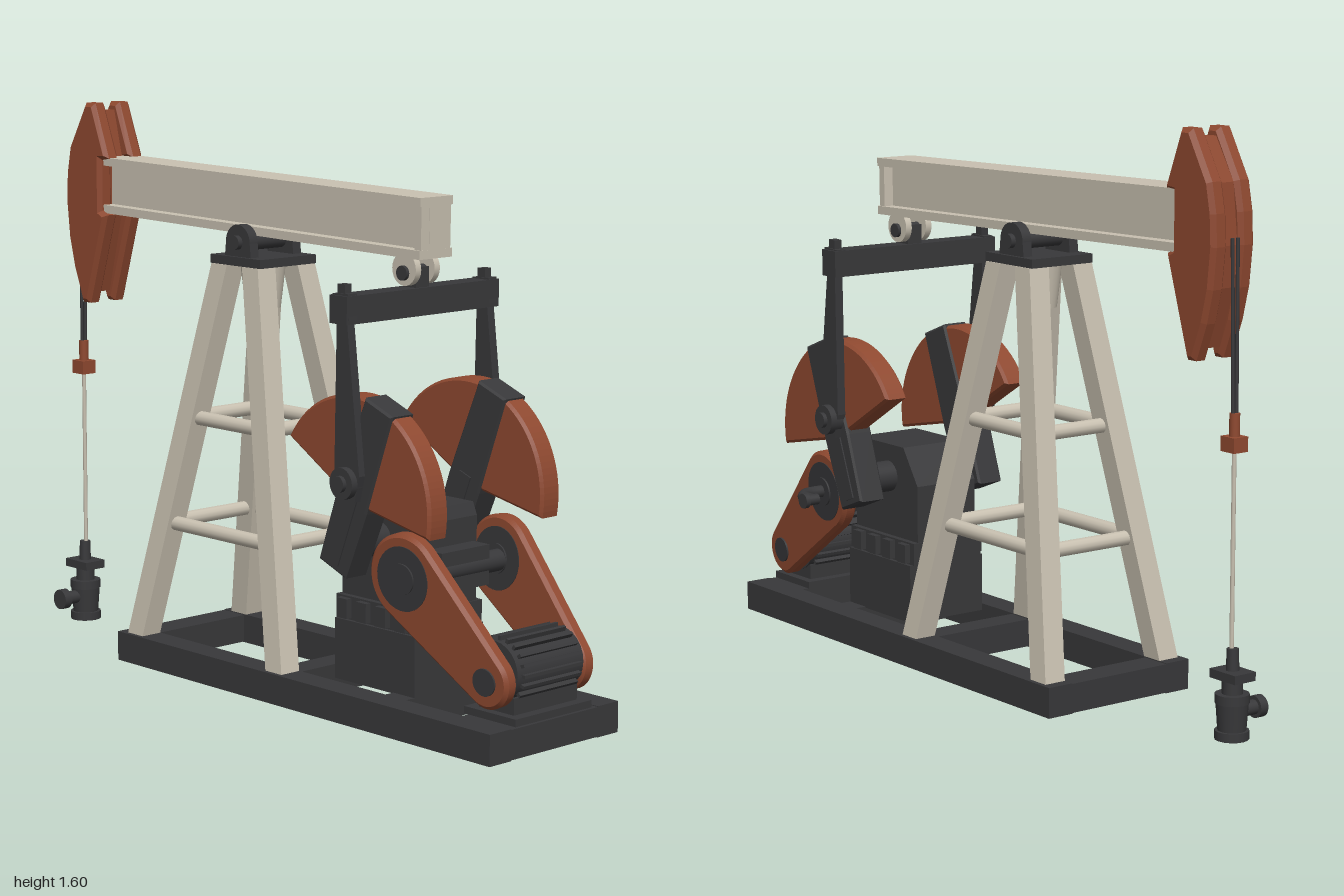
import * as THREE from 'three';

const mat = (name, color) => Object.assign(new THREE.MeshStandardMaterial({ color }), { name });

export function createModel() {
  const dark = mat('charcoal steel', 0x38383a);
  const red = mat('rust red paint', 0x8f4930);
  const cream = mat('cream paint', 0xc9c1b1);

  const root = new THREE.Group();
  root.name = 'oilPump';
  const machine = new THREE.Group();
  machine.name = 'machine';
  machine.position.z = 0.02; // everything is symmetric about this plane
  root.add(machine);

  const add = (name, geo, material, x = 0, y = 0, z = 0, parent = machine) => {
    const m = new THREE.Mesh(geo, material);
    m.name = name;
    m.position.set(x, y, z);
    parent.add(m);
    return m;
  };
  const box = (name, material, x0, x1, y0, y1, z0, z1, parent) =>
    add(name, new THREE.BoxGeometry(x1 - x0, y1 - y0, z1 - z0), material,
      (x0 + x1) / 2, (y0 + y1) / 2, (z0 + z1) / 2, parent);
  // cylinder lying along z
  const disc = (name, material, r, len, x, y, z, parent, sides = 24) =>
    add(name, new THREE.CylinderGeometry(r, r, len, sides).rotateX(Math.PI / 2), material, x, y, z, parent);
  const post = (name, material, r0, r1, y0, y1, x, z, sides = 16) =>
    add(name, new THREE.CylinderGeometry(r1, r0, y1 - y0, sides), material, x, (y0 + y1) / 2, z);
  // round bar between two points
  const rod = (name, material, r, a, b) => {
    const d = b.clone().sub(a);
    const m = add(name, new THREE.CylinderGeometry(r, r, d.length(), 12), material);
    m.position.copy(a).add(b).multiplyScalar(0.5);
    m.quaternion.setFromUnitVectors(new THREE.Vector3(0, 1, 0), d.normalize());
    return m;
  };
  // extruded outline centred on its own z, keeping its size when bevelled
  const slab = (shape, depth, bevel = 0) => {
    const g = new THREE.ExtrudeGeometry(shape, {
      depth: depth - 2 * bevel, bevelEnabled: bevel > 0, bevelThickness: bevel,
      bevelSize: bevel, bevelOffset: -bevel, bevelSegments: 1, curveSegments: 24,
    });
    return g.translate(0, 0, -depth / 2 + bevel);
  };
  const outline = (pts) => new THREE.Shape(pts.map(([x, y]) => new THREE.Vector2(x, y)));

  // Skid frame
  for (const s of [-1, 1]) box('skidRail', dark, -0.5, 1, 0, 0.085, s * 0.205 - 0.04, s * 0.205 + 0.04);
  for (const [a, b] of [[-0.5, -0.41], [0.12, 0.2], [0.53, 0.61], [0.82, 1]])
    box('skidCrossBeam', dark, a, b, 0.002, 0.083, -0.17, 0.17);

  // Tower legs: boxes sheared from foot to top
  const cx = -0.137, y0 = 0.08, y1 = 1.175;
  const legAt = (sx, sz, y) => {
    const t = (y - y0) / (y1 - y0);
    return new THREE.Vector3(cx + sx * (0.3 - 0.235 * t), y, sz * (0.2 - 0.125 * t));
  };
  for (const sx of [-1, 1]) for (const sz of [-1, 1]) {
    const g = new THREE.BoxGeometry(0.066, 1, 0.066);
    const p = g.attributes.position;
    for (let i = 0; i < p.count; i++) {
      const c = legAt(sx, sz, p.getY(i) < 0 ? y0 : y1);
      p.setXYZ(i, c.x + p.getX(i), c.y, c.z + p.getZ(i));
    }
    g.computeVertexNormals();
    add('towerLeg', g, cream);
  }
  // Tower rungs on all four faces
  for (const y of [0.42, 0.73]) for (const s of [-1, 1]) {
    rod('towerRung', cream, 0.021, legAt(-1, s, y), legAt(1, s, y));
    rod('towerRung', cream, 0.021, legAt(s, -1, y), legAt(s, 1, y));
  }
  post('towerCap', cream, 0.05, 0.065, 1.05, 1.175, cx, 0, 20);
  box('saddlePlate', dark, cx - 0.105, cx + 0.105, 1.175, 1.2, -0.105, 0.105);

  // Saddle bearings
  const arch = new THREE.Shape();
  arch.moveTo(-0.055, 1.195);
  arch.lineTo(0.055, 1.195);
  arch.lineTo(0.05, 1.24);
  arch.absarc(0, 1.24, 0.05, 0, Math.PI, false);
  for (const s of [-1, 1]) {
    add('saddleBearing', slab(arch, 0.03), dark, cx, 0, s * 0.08);
    disc('saddleBolt', dark, 0.02, 0.02, cx, 1.24, s * 0.1);
  }
  disc('saddlePin', dark, 0.025, 0.16, cx, 1.24, 0);

  // Walking beam
  const beam = new THREE.Group();
  beam.name = 'walkingBeam';
  beam.position.set(-0.12, 1.342, 0);
  beam.rotation.z = -0.02;
  machine.add(beam);
  box('topFlange', cream, -0.665, 0.67, 0.058, 0.082, -0.061, 0.061, beam);
  box('bottomFlange', cream, -0.665, 0.67, -0.082, -0.058, -0.061, 0.061, beam);
  box('beamWeb', cream, -0.665, 0.67, -0.06, 0.06, -0.025, 0.025, beam);
  box('beamEnd', cream, 0.645, 0.669, -0.06, 0.06, -0.055, 0.055, beam);

  // Curved head: two cheeks with a recessed core
  const head = outline([[-0.845, 1.595], [-0.803, 1.595], [-0.742, 1.435], [-0.775, 1.43], [-0.775, 1.28],
    [-0.75, 1.268], [-0.834, 1], [-0.866, 1], [-0.905, 1.1], [-0.928, 1.19], [-0.94, 1.3], [-0.936, 1.385], [-0.92, 1.465]]);
  for (const s of [-1, 1]) add('headCheek', slab(head, 0.052, 0.012), red, 0, 0, 0.005 + s * 0.046);
  const core = outline([[-0.84, 1.572], [-0.815, 1.572], [-0.78, 1.43], [-0.78, 1.28],
    [-0.845, 1.03], [-0.865, 1.03], [-0.915, 1.19], [-0.927, 1.3], [-0.909, 1.46]]);
  add('headCore', slab(core, 0.05), red, 0, 0, 0.005);

  // Hanging cable, coupling and polished rod
  const wx = -0.945, wz = 0.008;
  for (const s of [-1, 1]) rod('cable', dark, 0.005,
    new THREE.Vector3(-0.938, 1.32, wz + s * 0.009), new THREE.Vector3(wx, 0.86, wz + s * 0.006));
  post('couplingNeck', red, 0.014, 0.014, 0.8, 0.87, wx, wz);
  box('couplingBlock', red, wx - 0.026, wx + 0.026, 0.77, 0.81, wz - 0.024, wz + 0.024);
  post('polishedRod', cream, 0.006, 0.006, 0.24, 0.78, wx, wz, 10);

  // Wellhead
  const hx = -0.95;
  post('wellGland', dark, 0.018, 0.016, 0.18, 0.25, hx, wz);
  box('wellFlange', dark, hx - 0.05, hx + 0.05, 0.168, 0.192, wz - 0.036, wz + 0.036);
  post('wellNeck', dark, 0.028, 0.028, 0.12, 0.17, hx, wz);
  post('wellCollar', dark, 0.046, 0.046, 0.105, 0.13, hx, wz);
  post('wellBody', dark, 0.038, 0.044, 0.03, 0.11, hx, wz);
  post('wellFoot', dark, 0.046, 0.046, 0.008, 0.032, hx, wz);
  disc('wellOutlet', dark, 0.02, 0.1, hx, 0.08, wz + 0.045);
  disc('wellOutletCap', dark, 0.03, 0.025, hx, 0.08, wz + 0.088);

  // Equalizer hanging from the beam
  const ex = 0.475;
  for (const s of [-1, 1]) disc('hangerLug', cream, 0.045, 0.02, ex, 1.215, s * 0.035);
  disc('hangerPin', dark, 0.02, 0.11, ex, 1.205, 0);
  box('hangerBlock', dark, ex - 0.025, ex + 0.025, 1.15, 1.22, -0.024, 0.024);
  box('equalizerBar', dark, ex - 0.033, ex + 0.033, 1.09, 1.165, -0.285, 0.285);

  // Gearbox and pedestal
  box('gearPedestal', dark, 0.3, 0.61, 0.08, 0.25, -0.13, 0.13);
  box('gearLedge', dark, 0.295, 0.615, 0.25, 0.315, -0.12, 0.12);
  for (const s of [-1, 1]) for (let i = 0; i < 4; i++)
    box('ledgeTab', dark, 0.315 + i * 0.075, 0.355 + i * 0.075, 0.255, 0.31, s * 0.128 - 0.01, s * 0.128 + 0.01);
  const casing = outline([[0.3, 0.31], [0.61, 0.31], [0.61, 0.55], [0.595, 0.585], [0.37, 0.585], [0.3, 0.48]]);
  add('gearCasing', slab(casing, 0.205), dark);
  const sx = 0.445, sy = 0.49;
  disc('crankShaft', dark, 0.045, 0.42, sx, sy, 0);
  disc('pinionShaft', dark, 0.03, 0.34, 0.645, 0.425, 0);
  box('pinionHousing', dark, 0.55, 0.67, 0.37, 0.48, -0.09, 0.09);

  // Counterweight sector, drawn pointing up
  const half = 1.4;
  const sector = new THREE.Shape();
  sector.moveTo(0, 0);
  sector.absarc(0, 0, 0.29, Math.PI / 2 - half, Math.PI / 2 + half, false);
  sector.lineTo(0, 0);
  // Crank arm, drawn upright around the counterweight centre
  const arm = outline([[-0.055, -0.2], [0.055, -0.2], [0.062, 0], [0.055, 0.29], [-0.055, 0.29], [-0.062, 0]]);
  // Pitman arm, wider at its lower end
  const pitman = outline([[-0.045, 0.02], [-0.03, -0.05], [0.03, -0.05], [0.05, 0.02], [0.018, 0.45], [-0.018, 0.45]]);
  // Belt guard around two pulleys
  const r1 = 0.12, r2 = 0.075, len = 0.36, tan = Math.acos((r1 - r2) / len);
  const guard = new THREE.Shape();
  guard.absarc(0, 0, r1, tan, Math.PI * 2 - tan, false);
  guard.absarc(len, 0, r2, -tan, tan, false);

  for (const s of [-1, 1]) {
    const crank = new THREE.Group();
    crank.name = 'crank';
    crank.position.set(0.49, 0.61, s * 0.212);
    crank.rotation.z = -0.37;
    machine.add(crank);
    add('counterweight', slab(sector, 0.072, 0.008), red, 0, 0, 0, crank);
    add('crankArm', slab(arm, 0.084, 0.006), dark, 0, 0, 0, crank);
    box('crankSlot', dark, -0.022, 0.022, -0.18, 0.03, -0.046, 0.046, crank);

    const rodGroup = new THREE.Group();
    rodGroup.name = 'pitmanArm';
    rodGroup.position.set(0.497, 0.67, s * 0.262);
    rodGroup.rotation.z = 0.043;
    machine.add(rodGroup);
    add('pitmanBlade', slab(pitman, 0.026), dark, 0, 0, 0, rodGroup);
    box('pitmanClevis', dark, -0.03, 0.03, 0.43, 0.5, -0.016, 0.016, rodGroup);
    box('pitmanBolt', dark, -0.014, 0.014, 0.48, 0.525, -0.012, 0.012, rodGroup);
    disc('crankPin', dark, 0.043, 0.05, 0, 0, s * 0.008, rodGroup);
    disc('crankPinNut', dark, 0.022, 0.07, 0, 0, s * 0.01, rodGroup);

    const g = new THREE.Group();
    g.name = 'beltGuard';
    g.position.set(0.635, 0.425, s * 0.18);
    g.rotation.set(0, s * 0.08, -0.7, 'ZYX');
    machine.add(g);
    add('guardCase', slab(guard, 0.046, 0.01), red, 0, 0, 0, g);
    disc('largePulleyCover', dark, 0.088, 0.05, 0, 0, 0, g, 32);
    disc('largePulleyHub', dark, 0.042, 0.06, 0, 0, 0, g);
    disc('smallPulleyHub', dark, 0.037, 0.056, len, 0, 0, g);
  }

  // Ribbed motor on its mount
  const mx = 0.9, my = 0.21;
  disc('motorBody', dark, 0.082, 0.25, mx, my, 0);
  for (let i = 0; i < 20; i++) {
    const a = (i / 20) * Math.PI * 2;
    const fin = add('motorFin', new THREE.BoxGeometry(0.022, 0.009, 0.22), dark,
      mx + Math.cos(a) * 0.083, my + Math.sin(a) * 0.083, 0);
    fin.rotation.z = a;
  }
  box('motorMount', dark, 0.81, 0.995, 0.085, 0.105, -0.145, 0.145);
  box('motorFoot', dark, 0.84, 0.965, 0.1, 0.15, -0.12, 0.12);

  // Bent pipe on the far pulley
  const bend = new THREE.CatmullRomCurve3([[0.64, 0.425, -0.2], [0.632, 0.425, -0.265], [0.6, 0.425, -0.297], [0.55, 0.425, -0.298]]
    .map((p) => new THREE.Vector3(...p)));
  add('bentPipe', new THREE.TubeGeometry(bend, 20, 0.018, 12), dark);
  disc('pipeStub', dark, 0.016, 0.045, 0.555, 0.425, -0.303);
  disc('pipeCap', dark, 0.022, 0.014, 0.555, 0.425, -0.324);

  return root;
}
